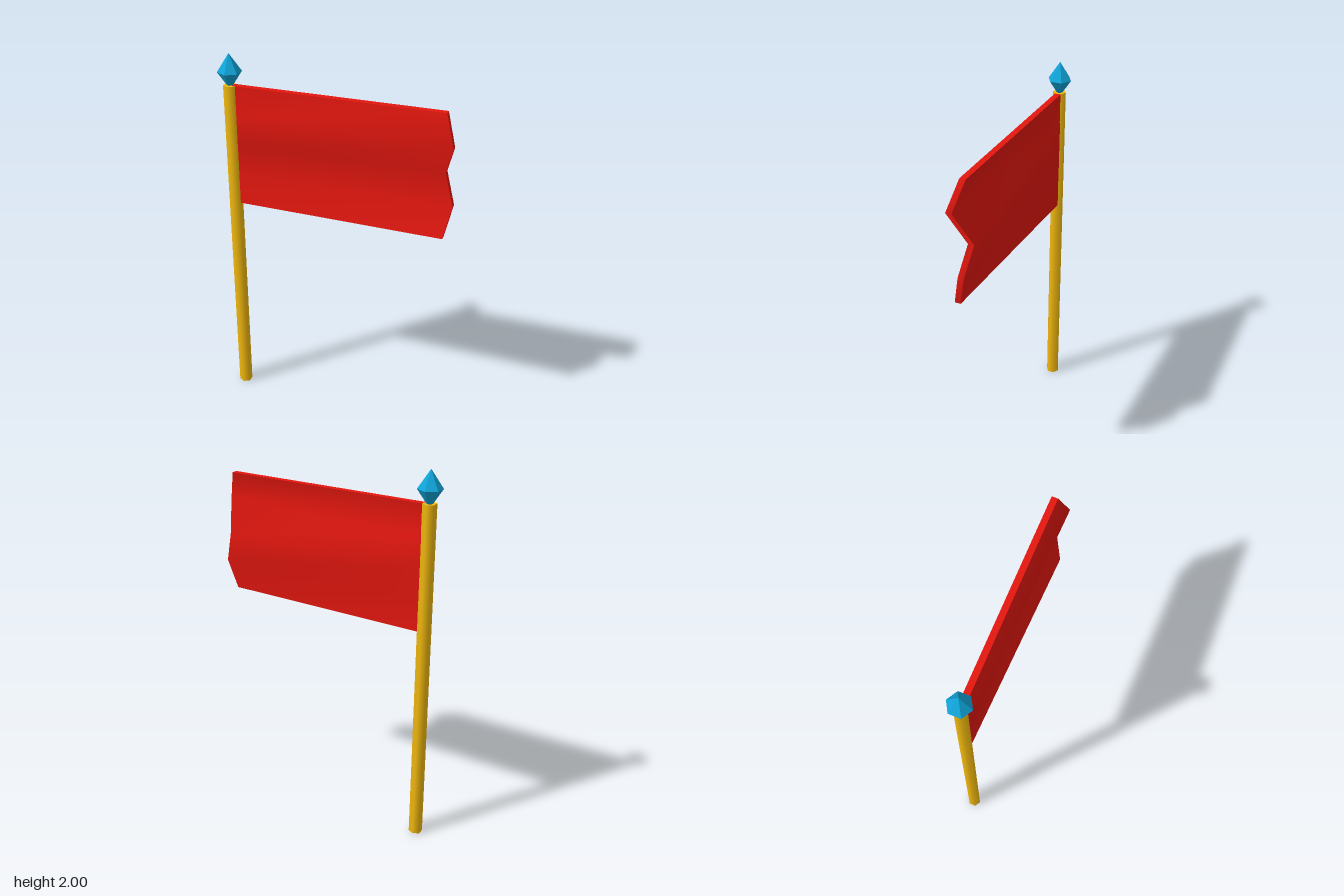
import * as THREE from 'three';
import { toCreasedNormals } from 'three/addons/utils/BufferGeometryUtils.js';

const POLE_X = -0.563;

function part(name, geometry, color, flatShading = false) {
  const mesh = new THREE.Mesh(geometry, new THREE.MeshStandardMaterial({ color, flatShading }));
  mesh.name = name;
  return mesh;
}

// Flag: a thin slab in four bands, its free end waving and notched
function flagGeometry() {
  // free end, from bottom to top: [y, x, z of the middle]
  const rows = [
    [1.18, 0.58, 0.033],
    [1.345, 0.614, -0.005],
    [1.51, 0.563, -0.038],
    [1.675, 0.612, 0.047],
    [1.835, 0.56, -0.003],
  ];
  const geometry = new THREE.BoxGeometry(1, 1, 1, 1, 4, 1);
  const p = geometry.attributes.position;
  for (let i = 0; i < p.count; i++) {
    const [y, endX, endZ] = rows[Math.round((p.getY(i) + 0.5) * 4)];
    const free = p.getX(i) > 0;
    const z = (free ? endZ : -0.003) + p.getZ(i) * 0.032;
    p.setXYZ(i, free ? endX : POLE_X + 0.015, y, z);
  }
  return toCreasedNormals(geometry, 1.15);
}

export function createModel() {
  const group = new THREE.Group();
  group.name = 'flagOnPole';

  // Six-sided pole, smooth around the shaft
  const pole = part('pole', new THREE.CylinderGeometry(0.036, 0.036, 1.835, 6), 0xf2b90e);
  pole.position.set(POLE_X, 1.835 / 2, 0);

  // Six-sided double-pointed finial
  const profile = [[0, 1.81], [0.063, 1.905], [0, 2]].map(([r, y]) => new THREE.Vector2(r, y));
  const finial = part('finial', new THREE.LatheGeometry(profile, 6), 0x10a4d8, true);
  finial.position.x = POLE_X;

  group.add(pole, finial, part('flag', flagGeometry(), 0xe5170f));
  return group;
}
